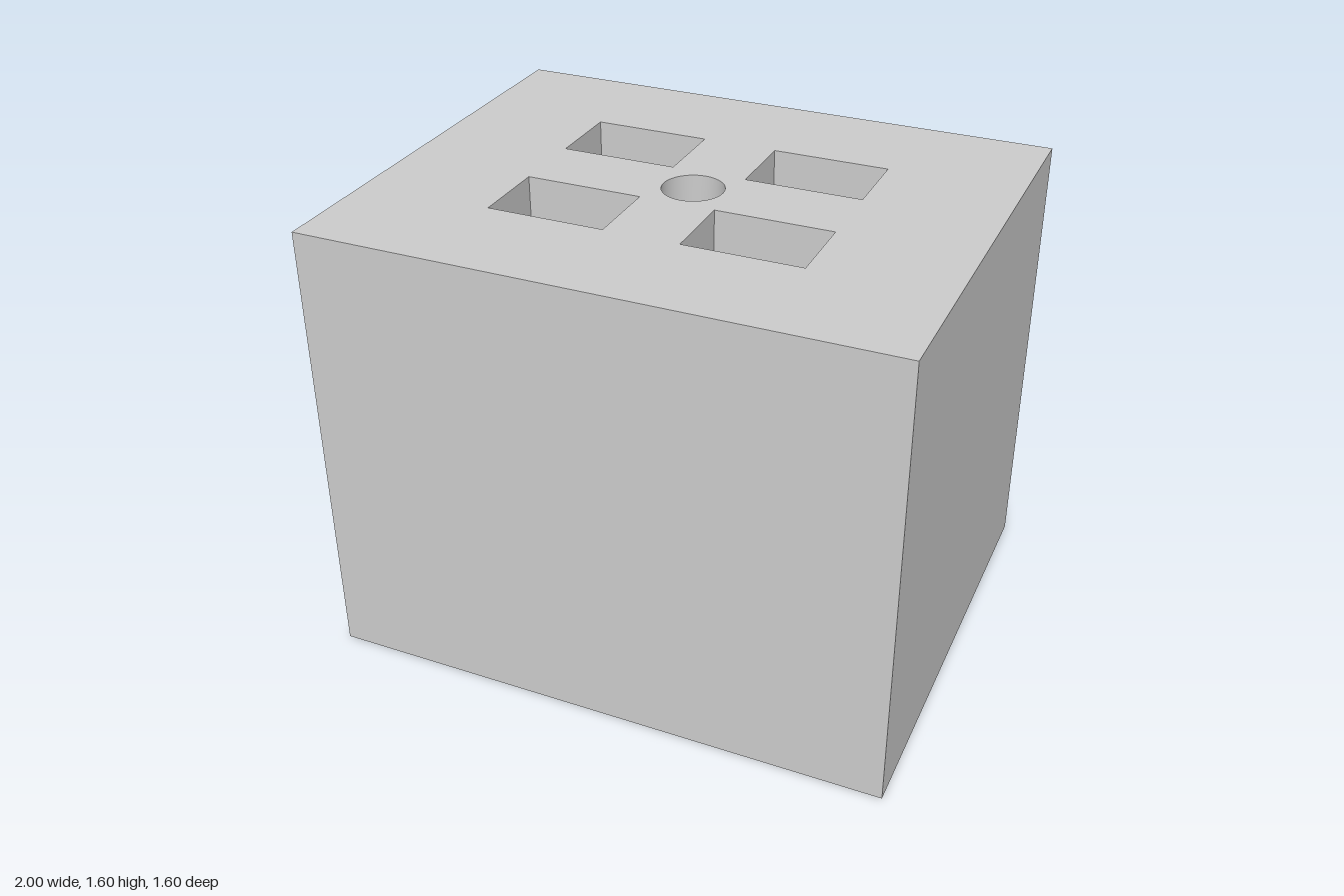
import * as THREE from 'three';
import { mergeGeometries, toCreasedNormals } from 'three/addons/utils/BufferGeometryUtils.js';

const W = 2, H = 1.6, D = 1.6, T = 0.16; // outer size and shell thickness

// Rectangle corners as (x, z), ordered so that a band around them faces outward
function rect(w, d, cx = 0, cz = 0) {
  return [[-1, 1], [1, 1], [1, -1], [-1, -1]].map(
    ([sx, sz]) => new THREE.Vector2(cx + sx * w / 2, cz + sz * d / 2));
}

function circle(r, n) {
  return Array.from({ length: n }, (_, i) => {
    const a = -i / n * Math.PI * 2;
    return new THREE.Vector2(r * Math.cos(a), r * Math.sin(a));
  });
}

// Upright wall around an outline; inward = true faces it to the middle
function band(outline, y0, y1, inward = false) {
  const pts = inward ? [...outline].reverse() : outline;
  const pos = [];
  pts.forEach((a, i) => {
    const b = pts[(i + 1) % pts.length];
    pos.push(a.x, y0, a.y, b.x, y0, b.y, b.x, y1, b.y);
    pos.push(a.x, y0, a.y, b.x, y1, b.y, a.x, y1, a.y);
  });
  const g = new THREE.BufferGeometry();
  g.setAttribute('position', new THREE.Float32BufferAttribute(pos, 3));
  g.computeVertexNormals();
  return g;
}

// Flat face with openings, facing up or down
function face(outline, holes, y, up) {
  const s = new THREE.Shape(outline);
  holes.forEach(h => s.holes.push(new THREE.Path(h)));
  const g = new THREE.ShapeGeometry(s).toNonIndexed();
  g.deleteAttribute('uv');
  g.rotateX(up ? -Math.PI / 2 : Math.PI / 2);
  g.translate(0, y, 0);
  return g;
}

export function createModel() {
  const group = new THREE.Group();
  const material = new THREE.MeshStandardMaterial({ color: 0xcccccc });
  const add = (name, parts) => {
    const mesh = new THREE.Mesh(toCreasedNormals(mergeGeometries(parts), Math.PI / 6), material);
    mesh.name = name;
    group.add(mesh);
  };

  const outer = rect(W, D);
  const inner = rect(W - 2 * T, D - 2 * T);

  // Round centre opening and four rectangular windows
  const holes = [circle(0.105, 48)];
  for (const sx of [-1, 1]) {
    for (const sz of [-1, 1]) holes.push(rect(0.405, 0.27, sx * 0.333, sz * 0.267));
  }

  // Side walls, outside and inside the cavity
  add('outerWalls', [band(outer, 0, H)]);
  add('cavityWalls', [band(inner, T, H - T, true)]);

  // Pierced plates closing the block at top and bottom
  add('topPlate', [
    face(outer, holes, H, true),
    face(inner, holes, H - T, false),
    ...holes.map(h => band(h, H - T, H, true)),
  ]);
  add('bottomPlate', [
    face(outer, holes, 0, false),
    face(inner, holes, T, true),
    ...holes.map(h => band(h, 0, T, true)),
  ]);
  return group;
}
